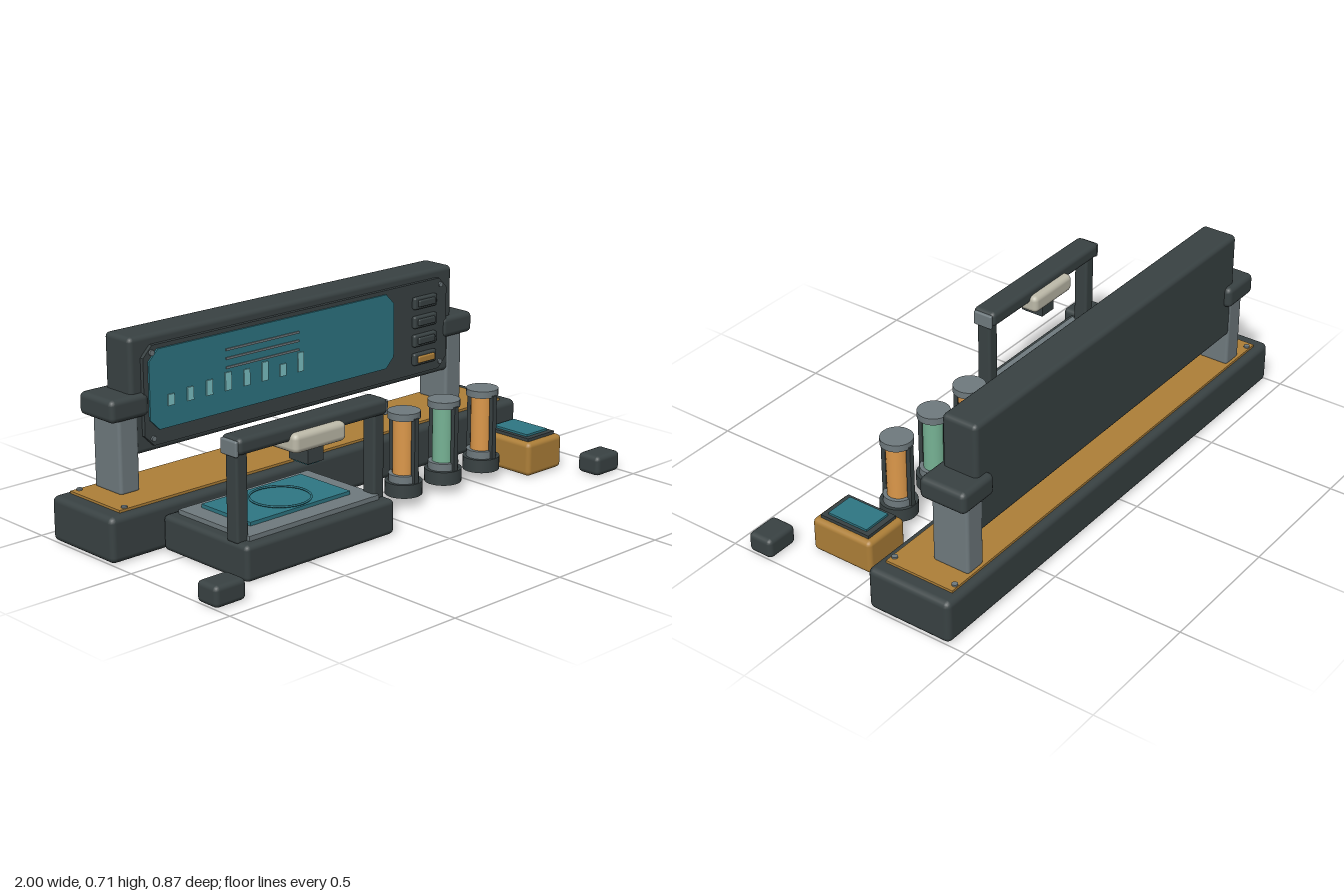
import * as THREE from 'three';
import { RoundedBoxGeometry } from 'three/addons/geometries/RoundedBoxGeometry.js';

const mat = (name, color) => {
  const m = new THREE.MeshStandardMaterial({ color });
  m.name = name;
  return m;
};

export function createModel() {
  const dark = mat('charcoal', 0x394243);
  const grey = mat('steel grey', 0x6f7a7e);
  const amber = mat('amber', 0xad7f38);
  const orange = mat('orange fluid', 0xdc984a);
  const green = mat('green fluid', 0x76b294);
  const teal = mat('teal', 0x2e7683);
  const aqua = mat('light aqua', 0x7cc2c6);
  const cream = mat('cream', 0xbdbaa9);

  const model = new THREE.Group();
  model.name = 'workstation';

  const group = (name) => {
    const g = new THREE.Group();
    g.name = name;
    model.add(g);
    return g;
  };
  const add = (parent, name, geometry, material, x = 0, y = 0, z = 0) => {
    const m = new THREE.Mesh(geometry, material);
    m.name = name;
    m.position.set(x, y, z);
    parent.add(m);
    return m;
  };
  // Box given by its limits on each axis, rounded when r > 0
  const box = (parent, name, material, [x0, x1], [y0, y1], [z0, z1], r = 0) => {
    const w = x1 - x0, h = y1 - y0, d = z1 - z0;
    const g = r ? new RoundedBoxGeometry(w, h, d, 2, r) : new THREE.BoxGeometry(w, h, d);
    return add(parent, name, g, material, (x0 + x1) / 2, (y0 + y1) / 2, (z0 + z1) / 2);
  };
  const cyl = (parent, name, material, r, y0, y1, x, z, n = 24) =>
    add(parent, name, new THREE.CylinderGeometry(r, r, y1 - y0, n), material, x, (y0 + y1) / 2, z);
  // Plate with cut corners, facing +z
  const cutPlate = (parent, name, material, [x0, x1], [y0, y1], [z0, z1], c) => {
    const s = new THREE.Shape([
      [x0 + c, y0], [x1 - c, y0], [x1, y0 + c], [x1, y1 - c],
      [x1 - c, y1], [x0 + c, y1], [x0, y1 - c], [x0, y0 + c],
    ].map(([x, y]) => new THREE.Vector2(x, y)));
    const g = new THREE.ExtrudeGeometry(s, { depth: z1 - z0, bevelEnabled: false });
    return add(parent, name, g, material, 0, 0, z0);
  };

  // Long rear base with its amber deck
  const base = group('rearBase');
  box(base, 'baseBody', dark, [-1, 1], [0.003, 0.167], [-0.435, -0.097], 0.022);
  box(base, 'baseDeck', amber, [-0.94, 0.94], [0.16, 0.176], [-0.405, -0.13]);
  for (const x of [-0.91, 0.91])
    for (const z of [-0.392, -0.143]) cyl(base, 'deckBolt', grey, 0.011, 0.17, 0.182, x, z, 10);
  const plug = add(base, 'cableSocket', new THREE.SphereGeometry(0.016, 10, 8), dark, 0.18, 0.053, -0.09);
  plug.scale.z = 0.9;

  // Posts and clamps holding the display
  const support = group('displaySupports');
  for (const s of [-1, 1]) {
    const span = (a, b) => (s > 0 ? [a, b] : [-b, -a]);
    box(support, 'supportPost', grey, span(0.757, 0.842), [0.17, 0.47], [-0.395, -0.248], 0.012);
    box(support, 'supportClamp', dark, span(0.72, 0.884), [0.438, 0.52], [-0.416, -0.23], 0.02);
  }

  // Display panel, bezel and screen
  const display = group('display');
  box(display, 'displayBody', dark, [-0.785, 0.785], [0.3, 0.717], [-0.391, -0.251], 0.018);
  cutPlate(display, 'bezel', dark, [-0.74, 0.74], [0.325, 0.682], [-0.256, -0.236], 0.04);
  cutPlate(display, 'screen', teal, [-0.72, 0.45], [0.38, 0.667], [-0.24, -0.229], 0.04);
  for (const x of [-0.705, 0.705])
    for (const y of [0.352, 0.657]) {
      const bolt = cyl(display, 'bezelBolt', grey, 0.01, 0, 0.008, x, -0.233, 10);
      bolt.rotation.x = Math.PI / 2;
      bolt.position.y = y;
    }
  for (const y of [0.606, 0.574, 0.541])
    box(display, 'screenLine', grey, [-0.38, -0.035], [y - 0.004, y + 0.004], [-0.23, -0.225]);
  [0.04, 0.048, 0.055, 0.066, 0.06, 0.07, 0.045, 0.072].forEach((h, i) => {
    const x = -0.63 + i * 0.086;
    box(display, 'chartBar', aqua, [x - 0.014, x + 0.014], [0.458, 0.458 + h], [-0.23, -0.224]);
  });

  // Column of buttons
  [0.606, 0.532, 0.459, 0.386].forEach((y, i) => {
    box(display, 'buttonFrame', dark, [0.553, 0.675], [y - 0.024, y + 0.024], [-0.24, -0.219], 0.008);
    box(display, 'buttonCap', i === 3 ? amber : dark, [0.57, 0.658], [y - 0.013, y + 0.013], [-0.225, -0.21], 0.005);
  });

  // Work platform
  const platform = group('workPlatform');
  box(platform, 'platformBody', dark, [-0.785, -0.105], [0.004, 0.132], [-0.097, 0.338], 0.018);
  box(platform, 'platformDeck', grey, [-0.742, -0.148], [0.128, 0.149], [-0.062, 0.302]);
  box(platform, 'workPlate', teal, [-0.675, -0.218], [0.147, 0.162], [-0.022, 0.23]);
  const ring = add(platform, 'guideRing', new THREE.TorusGeometry(0.107, 0.004, 6, 48), teal, -0.445, 0.17, 0.122);
  ring.rotation.x = Math.PI / 2;

  // Gantry over the platform
  const gantry = group('gantry');
  for (const x of [-0.757, -0.135])
    box(gantry, 'gantryPost', dark, [x - 0.025, x + 0.025], [0.125, 0.45], [0.231, 0.289], 0.01);
  box(gantry, 'gantryBeam', dark, [-0.783, -0.108], [0.432, 0.491], [0.21, 0.306], 0.018);
  for (const x of [-0.783, -0.108])
    box(gantry, 'beamEndCap', grey, [x - 0.008, x + 0.008], [0.427, 0.482], [0.218, 0.297], 0.006);
  box(gantry, 'toolCarriage', cream, [-0.565, -0.33], [0.394, 0.463], [0.181, 0.335], 0.02);
  box(gantry, 'toolHead', dark, [-0.484, -0.412], [0.338, 0.4], [0.211, 0.305]);
  box(gantry, 'toolTip', teal, [-0.475, -0.421], [0.331, 0.339], [0.222, 0.294]);

  // Three fluid canisters
  [orange, green, orange].forEach((fluid, i) => {
    const x = 0.145 + i * 0.205, z = 0.13;
    const can = group('canister');
    cyl(can, 'canisterFoot', dark, 0.069, 0.042, 0.092, x, z);
    cyl(can, 'canisterCollar', grey, 0.056, 0.09, 0.12, x, z);
    cyl(can, 'canisterTube', fluid, 0.041, 0.118, 0.332, x, z);
    cyl(can, 'canisterCap', grey, 0.06, 0.328, 0.354, x, z);
    for (const s of [-1, 1])
      box(can, 'canisterRod', dark, [x - 0.01, x + 0.01], [0.09, 0.335],
        [z + s * 0.056 - 0.009, z + s * 0.056 + 0.009]);
  });

  // Amber control box with a small screen
  const control = group('controlBox');
  box(control, 'controlBody', amber, [0.677, 0.865], [0.005, 0.135], [0.004, 0.26], 0.018);
  box(control, 'controlFrame', dark, [0.697, 0.843], [0.13, 0.147], [0.027, 0.237]);
  box(control, 'controlScreen', teal, [0.713, 0.827], [0.145, 0.155], [0.048, 0.216]);

  // Front corner feet
  const feet = group('cornerFeet');
  for (const x of [-0.935, 0.935])
    box(feet, 'cornerFoot', dark, [x - 0.065, x + 0.065], [0.003, 0.079], [0.334, 0.435], 0.018);

  return model;
}
